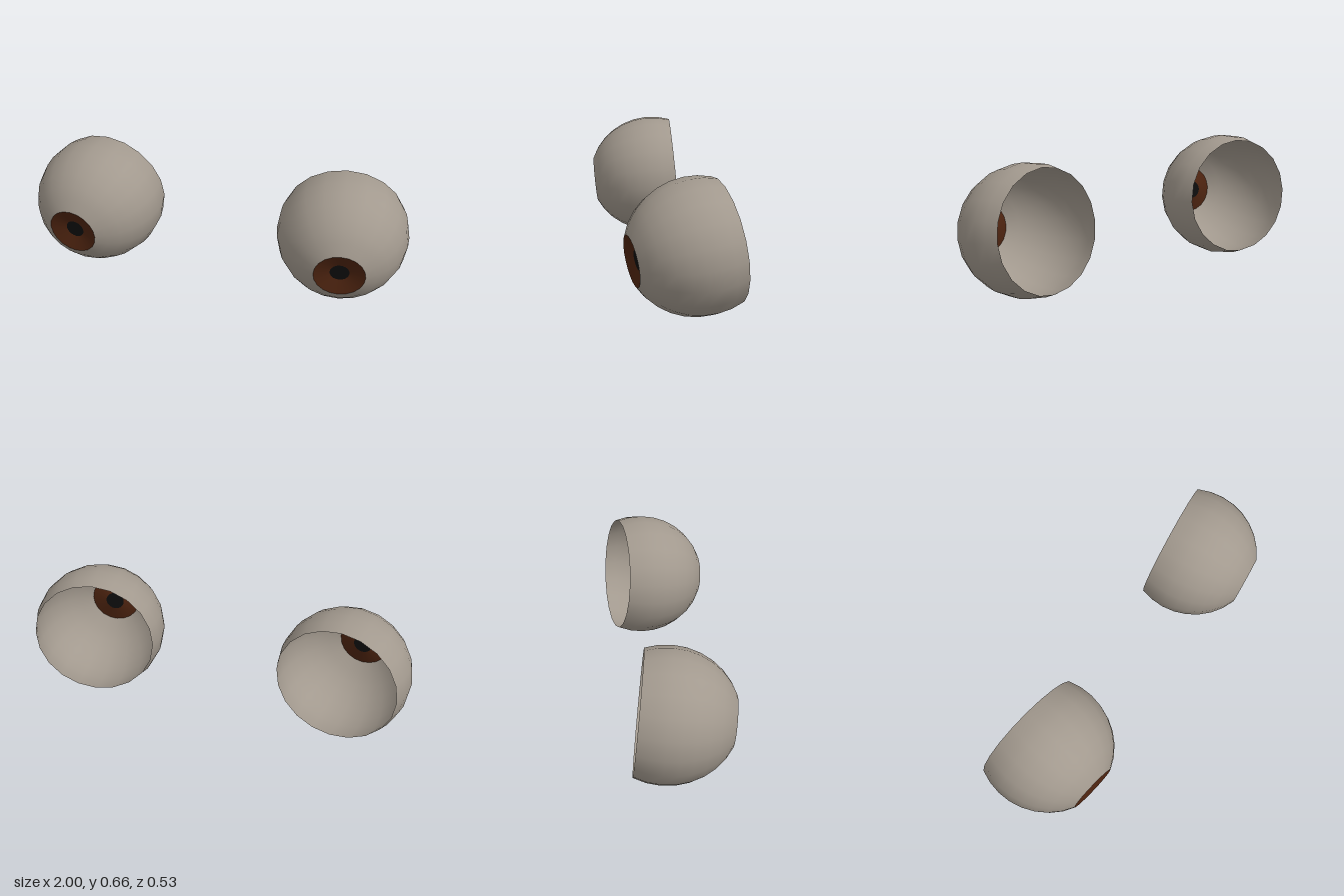
import * as THREE from 'three';

const RX = 0.34, RY = 0.328, RZ = 0.35; // eyeball radii
const SIDES = 20, STEP = Math.PI / 16;

const material = (name, color) => {
  const m = new THREE.MeshStandardMaterial({ color, side: THREE.DoubleSide });
  m.name = name;
  return m;
};

// Turn a unit profile around the gaze axis (+z) and scale it to the eyeball
function turned(points) {
  const g = new THREE.LatheGeometry(points.map(([r, d]) => new THREE.Vector2(r, d)), SIDES);
  return g.rotateX(Math.PI / 2).scale(RX, RY, RZ);
}

export function createModel() {
  const model = new THREE.Group();
  model.name = 'eyes';
  const white = material('eyeWhite', 0xa2998e);
  const brown = material('irisBrown', 0x4e2410);
  const black = material('pupilBlack', 0x0e0e0e);

  // Hollow shell, open at the back, with a round hole for the iris
  const shellProfile = [];
  for (let i = 10; i >= 2; i--) shellProfile.push([Math.sin(i * STEP), Math.cos(i * STEP)]);
  const rimR = Math.sin(2 * STEP), rimD = Math.cos(2 * STEP);
  const pupilR = 0.145, pupilD = rimD - 0.07;

  const shell = turned(shellProfile);
  // Shallow dished iris with a flat pupil at its bottom
  const iris = turned([[pupilR, pupilD], [rimR, rimD]].reverse());
  const pupil = new THREE.CircleGeometry(pupilR, SIDES, Math.PI / 2)
    .translate(0, 0, pupilD).scale(RX, RY, RZ);

  // Each eye looks slightly outward and down
  const addEye = (name, side, yaw, pitch) => {
    const eye = new THREE.Group();
    eye.name = name;
    for (const [part, geometry, mat] of [
      ['eyeball', shell, white], ['iris', iris, brown], ['pupil', pupil, black],
    ]) {
      const mesh = new THREE.Mesh(geometry, mat);
      mesh.name = part;
      eye.add(mesh);
    }
    eye.position.set(side * 0.66, 0.329, -0.077);
    eye.rotation.set(THREE.MathUtils.degToRad(pitch), THREE.MathUtils.degToRad(side * yaw), 0, 'YXZ');
    model.add(eye);
  };
  addEye('leftEye', 1, 7.2, 7.5);
  addEye('rightEye', -1, 7.8, 5.5);
  return model;
}
